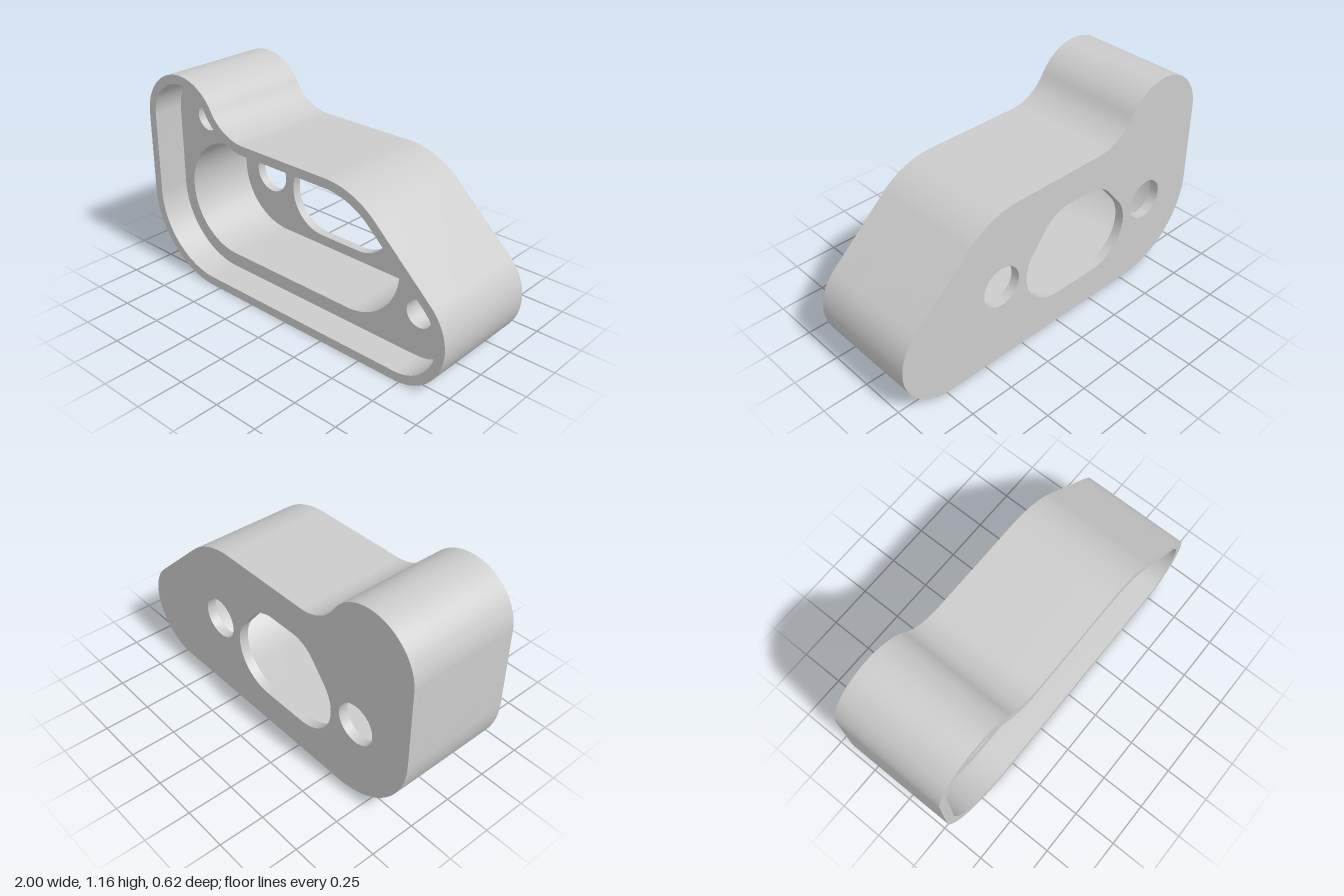
import * as THREE from 'three';
import { toCreasedNormals } from 'three/addons/utils/BufferGeometryUtils.js';

// Angle of the outward normal of the line touching two circles, going anticlockwise
function tangentAngle([x1, y1, r1], [x2, y2, r2]) {
  const dx = x2 - x1, dy = y2 - y1;
  return Math.atan2(dy, dx) - Math.acos((r1 - r2) / Math.hypot(dx, dy));
}

// Belt stretched around circles listed anticlockwise
function belt(circles, path = new THREE.Path()) {
  const n = circles.length;
  circles.forEach((c, i) => {
    const from = tangentAngle(circles[(i + n - 1) % n], c);
    const to = tangentAngle(c, circles[(i + 1) % n]);
    path.absarc(c[0], c[1], c[2], from, to, false);
  });
  path.closePath();
  return path;
}

// Outer outline of the housing, moved inwards by an inset
function outline(inset, path) {
  const top = 0.905, lobe = [-0.73, 0.895, 0.27];
  const nose = [0.72, 0.28, 0.28], shoulder = [0.28, 0.455, 0.45];
  const slope = tangentAngle(nose, shoulder);
  // concave fillet between the flat top and the lobe
  const fx = -0.27, fr = 0.267, fy = top + fr;
  const f = Math.atan2(fy - lobe[1], fx - lobe[0]);
  path.absarc(-0.55, 0.45, 0.45 - inset, Math.PI, Math.PI * 1.5, false);
  path.absarc(nose[0], nose[1], nose[2] - inset, -Math.PI / 2, slope, false);
  path.absarc(shoulder[0], shoulder[1], shoulder[2] - inset, slope, Math.PI / 2, false);
  path.absarc(fx, fy, fr + inset, -Math.PI / 2, f - Math.PI, true);
  path.absarc(lobe[0], lobe[1], lobe[2] - inset, f, Math.PI, false);
  path.closePath();
  return path;
}

const circle = (x, y, r) => new THREE.Path().absarc(x, y, r, 0, Math.PI * 2, false);

export function createModel() {
  const group = new THREE.Group();
  group.name = 'housing';
  const material = new THREE.MeshStandardMaterial({ color: 0xcccccc });

  // One slice of the housing between two depths
  const slice = (name, z0, z1, holes) => {
    const shape = outline(0, new THREE.Shape());
    shape.holes.push(...holes);
    const geometry = new THREE.ExtrudeGeometry(shape, {
      depth: z1 - z0, bevelEnabled: false, curveSegments: 24,
    });
    geometry.translate(0, 0, z0);
    const mesh = new THREE.Mesh(toCreasedNormals(geometry, 0.6), material);
    mesh.name = name;
    group.add(mesh);
  };

  const pocket = () => belt([[-0.55, 0.455, 0.325], [0.275, 0.455, 0.325]]);
  const screwHoles = [circle(-0.725, 0.895, 0.075), circle(0.725, 0.285, 0.075)];
  const opening = belt([
    [-0.27, 0.41, 0.22], [0.0, 0.41, 0.22], [-0.06, 0.53, 0.19], [-0.21, 0.53, 0.19],
  ]);

  // Thin rim around the front recess
  slice('frontRim', 0.14, 0.3125, [outline(0.05, new THREE.Path())]);
  // Ledge with blind screw holes around the deep pocket
  slice('screwLedge', -0.16, 0.14, [pocket(), ...screwHoles]);
  slice('pocketWall', -0.26, -0.16, [pocket()]);
  // Back plate with the window and two through holes
  slice('backPlate', -0.3125, -0.26, [
    opening, circle(-0.66, 0.455, 0.113), circle(0.385, 0.455, 0.113),
  ]);
  return group;
}
